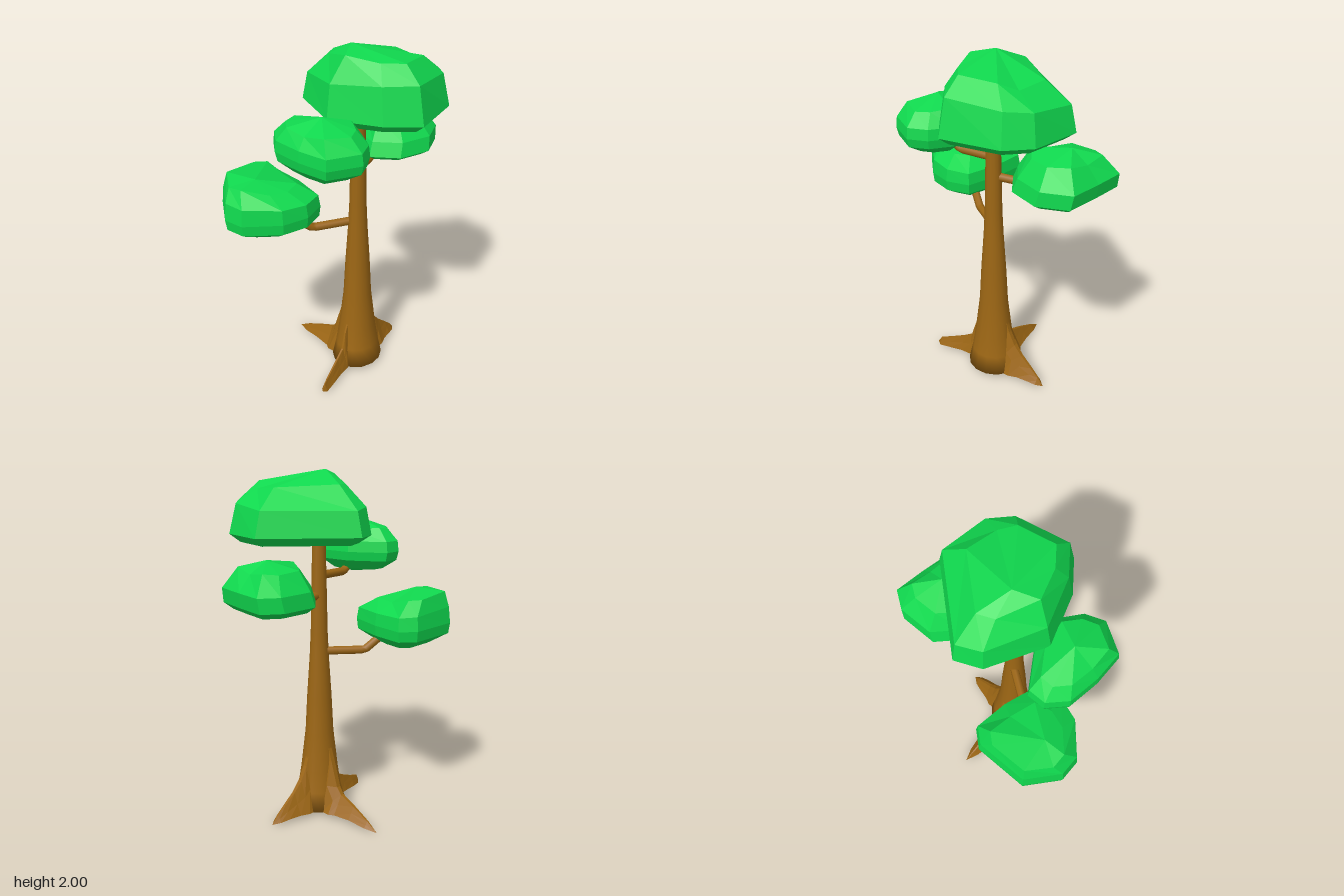
import * as THREE from 'three';

const bark = new THREE.MeshStandardMaterial({ color: 0x9c6614 });
bark.name = 'bark brown';
const leaf = new THREE.MeshStandardMaterial({ color: 0x10d84e });
leaf.name = 'leaf green';

function add(parent, name, geometry, material) {
  const mesh = new THREE.Mesh(geometry, material);
  mesh.name = name;
  parent.add(mesh);
  return mesh;
}

// Flat-faceted skin over stacked rings of points, closed by a point at each end
function loft(rings, startPoint, endPoint) {
  const pos = [];
  const tri = (...pts) => pts.forEach((p) => pos.push(...p));
  const n = rings[0].length;
  for (let i = 0; i < n; i++) {
    const j = (i + 1) % n;
    tri(rings[0][i], rings[0][j], startPoint);
    for (let k = 0; k < rings.length - 1; k++) {
      const low = rings[k], high = rings[k + 1];
      tri(low[i], high[i], high[j]);
      tri(low[i], high[j], low[j]);
    }
    const last = rings[rings.length - 1];
    tri(last[j], last[i], endPoint);
  }
  const g = new THREE.BufferGeometry();
  g.setAttribute('position', new THREE.Float32BufferAttribute(pos, 3));
  g.computeVertexNormals();
  return g;
}

// Foliage clump: plan outline, rings of [y, scale, dx, dz, slopeX, slopeZ, jitter]
function clump({ outline, rings, bottom, top }) {
  const cx = outline.reduce((s, p) => s + p[0], 0) / outline.length;
  const cz = outline.reduce((s, p) => s + p[1], 0) / outline.length;
  const loops = rings.map(([y, s, dx = 0, dz = 0, sx = 0, sz = 0, jitter = 0]) =>
    outline.map(([x, z], i) => {
      const ox = (x - cx) * s, oz = (z - cz) * s;
      return [cx + ox + dx, y + ox * sx + oz * sz + jitter * Math.sin(i * 2.4), cz + oz + dz];
    }));
  return loft(loops, bottom, top);
}

const clumps = {
  crownFoliage: {
    outline: [[-0.32, -0.08], [0.04, -0.49], [0.32, -0.43], [0.43, -0.31],
      [0.48, 0.02], [0.32, 0.14], [0.04, 0.23], [-0.26, 0.06]],
    rings: [[1.62, 0.84], [1.665, 1], [1.83, 0.91, -0.01, 0, 0.08, 0.06],
      [1.935, 0.62, 0, 0.02, 0.04, 0.13, 0.015]],
    bottom: [0.1, 1.61, -0.1], top: [0.02, 2, 0],
  },
  frontRightFoliage: {
    outline: [[-0.48, 0.2], [-0.41, 0.12], [-0.22, 0.15], [-0.02, 0.22], [0.01, 0.36],
      [-0.04, 0.5], [-0.2, 0.64], [-0.32, 0.64], [-0.48, 0.5]],
    rings: [[1.025, 0.55], [1.09, 0.97], [1.15, 1], [1.23, 0.96, 0, 0, -0.03, 0.05],
      [1.3, 0.7, -0.04, 0.02, -0.12, 0.08, 0.01]],
    bottom: [-0.22, 1, 0.38], top: [-0.26, 1.335, 0.46],
  },
  frontFoliage: {
    outline: [[-0.19, 0.38], [-0.19, 0.28], [0, 0.16], [0.2, 0.14], [0.31, 0.23],
      [0.35, 0.34], [0.25, 0.5], [0.08, 0.5], [-0.1, 0.47]],
    rings: [[1.435, 0.62], [1.49, 0.95], [1.54, 1], [1.6, 0.97],
      [1.67, 0.72, 0, 0, 0.02, -0.02, 0.01]],
    bottom: [0.09, 1.41, 0.3], top: [0.09, 1.725, 0.33],
  },
  backFoliage: {
    outline: [[-0.23, -0.54], [-0.16, -0.64], [0.02, -0.61], [0.21, -0.57], [0.27, -0.4],
      [0.2, -0.22], [0.05, -0.13], [-0.1, -0.2], [-0.23, -0.33]],
    rings: [[1.295, 0.8], [1.33, 1], [1.41, 0.96, 0, -0.02],
      [1.51, 0.66, 0, -0.01, 0.02, 0.02, 0.012]],
    bottom: [0.02, 1.29, -0.4], top: [0, 1.56, -0.45],
  },
};

// Roots: angle, sideways bend, and stations of [distance, top, halfWidth, base]
const roots = {
  sideRoot: { angle: Math.PI, bend: 0.02, stations: [[0.05, 0.52, 0.06, 0.03],
    [0.11, 0.34, 0.09, 0.03], [0.16, 0.18, 0.09, 0.03], [0.19, 0.14, 0.07, 0.03],
    [0.29, 0.1, 0.05, 0.03], [0.4, 0.05, 0.03, 0.015]], tip: [0.475, 0.005] },
  frontRoot: { angle: -Math.PI / 2, bend: -0.05, stations: [[0.07, 0.4, 0.02, 0.03],
    [0.13, 0.26, 0.035, 0.03], [0.16, 0.16, 0.04, 0.03], [0.22, 0.125, 0.035, 0.03],
    [0.31, 0.085, 0.03, 0.02], [0.38, 0.06, 0.02, 0.01]], tip: [0.405, 0.02] },
  backRoot: { angle: Math.PI / 2, bend: 0.02, stations: [[0.06, 0.48, 0.05, 0.03],
    [0.12, 0.3, 0.08, 0.03], [0.16, 0.22, 0.08, 0.03], [0.21, 0.16, 0.06, 0.03],
    [0.28, 0.1, 0.045, 0.025], [0.33, 0.055, 0.03, 0.015]], tip: [0.37, 0.005] },
};

function rootGeometry({ bend, stations, tip }) {
  const end = tip[0];
  const side = (d) => bend * (d / end) ** 2;
  const rings = stations.map(([d, h, w, b]) => [
    [1, 0], [0.55, 0.5], [0.15, 1], [-0.15, 1], [-0.55, 0.5], [-1, 0],
  ].map(([u, v]) => [d, b + (h - b) * v, side(d) + u * w]));
  const [d0, h0] = stations[0];
  return loft(rings, [d0, h0 / 2, 0], [end, tip[1], bend]);
}

// Branches as kinked paths
const branches = {
  lowBranch: [[0.05, 0.985, -0.01], [-0.1, 0.98, 0.2], [-0.17, 1.08, 0.3]],
  frontBranch: [[0.06, 1.42, -0.01], [0.07, 1.42, 0.2], [0.08, 1.48, 0.28]],
  backBranch: [[0.06, 1.31, -0.01], [0.03, 1.305, -0.16], [0.01, 1.37, -0.27]],
};

export function createModel() {
  const tree = new THREE.Group();
  tree.name = 'tree';

  // Tapered trunk with a flared foot
  const profile = [[0, 0.03], [0.147, 0.03], [0.125, 0.14], [0.106, 0.27], [0.08, 0.5], [0.069, 0.72],
    [0.054, 0.95], [0.047, 1.1], [0.041, 1.4], [0.035, 1.68]];
  const trunk = add(tree, 'trunk', new THREE.LatheGeometry(
    profile.map(([r, y]) => new THREE.Vector2(r, y)), 14), bark);
  trunk.position.set(0.062, 0, -0.01);
  trunk.scale.z = 1.08;

  for (const [name, spec] of Object.entries(roots)) {
    const root = add(tree, name, rootGeometry(spec), bark);
    root.position.set(0.062, 0, -0.01);
    root.rotation.y = spec.angle;
  }

  for (const [name, pts] of Object.entries(branches)) {
    const path = new THREE.CatmullRomCurve3(
      pts.map((p) => new THREE.Vector3(...p)), false, 'catmullrom', 0.05);
    add(tree, name, new THREE.TubeGeometry(path, 14, 0.024, 7), bark);
  }

  for (const [name, spec] of Object.entries(clumps)) add(tree, name, clump(spec), leaf);

  return tree;
}
